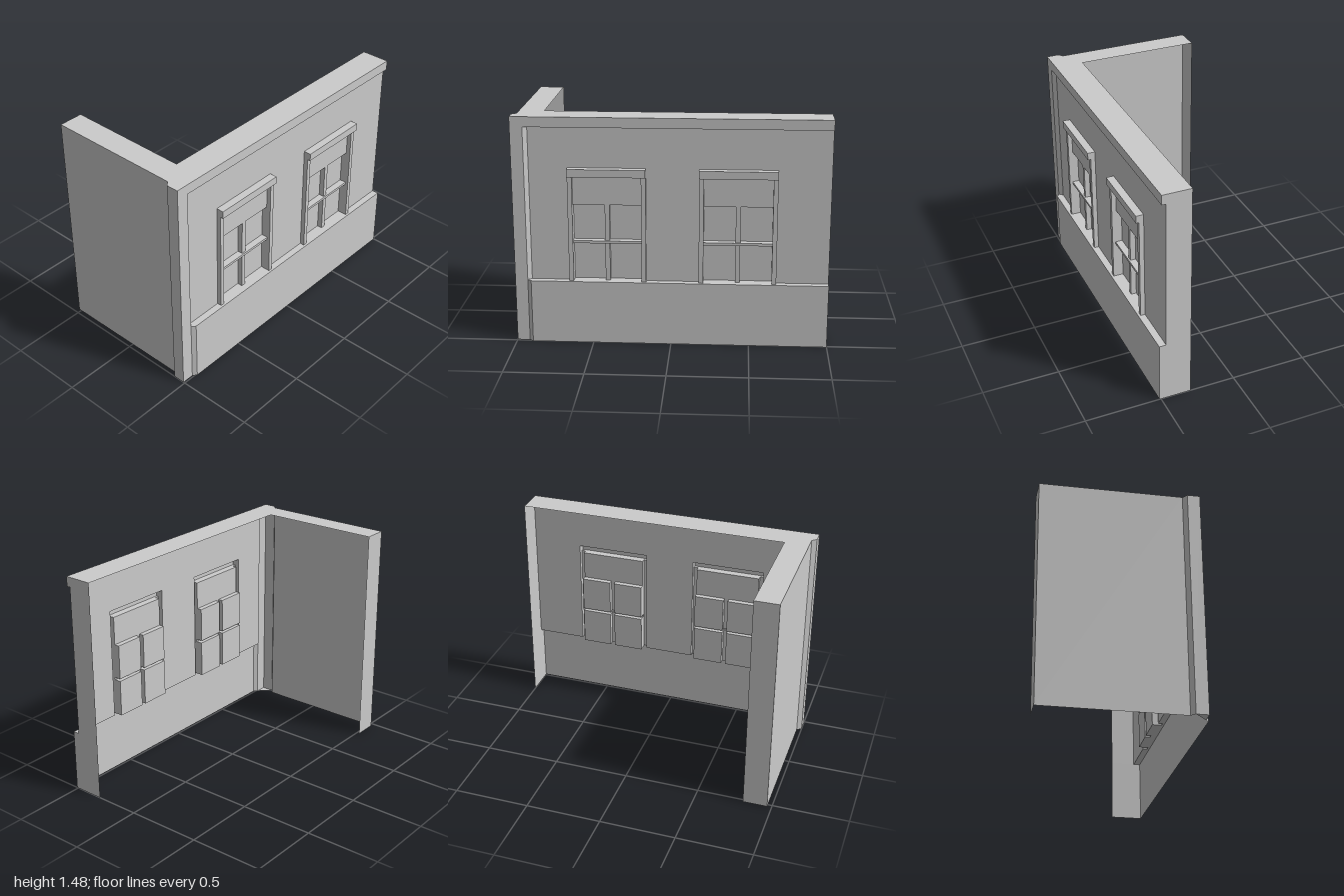
import * as THREE from 'three';

const H = 1.48, PLINTH = 0.415, CORNICE = 1.415, BACK = -1, BEND = 0.895;
const INNER = 0.30, WALL = 0.465, POST = 0.49, BASE = 0.51;
const WINDOWS = [0.404, -0.422];

const material = new THREE.MeshStandardMaterial({ color: 0xcccccc, side: THREE.DoubleSide, flatShading: true });

// mesh from a list of four-cornered faces
function quadMesh(name, quads) {
  const pos = [];
  for (const [a, b, c, d] of quads) pos.push(...a, ...b, ...c, ...a, ...c, ...d);
  const g = new THREE.BufferGeometry();
  g.setAttribute('position', new THREE.Float32BufferAttribute(pos, 3));
  g.computeVertexNormals();
  const m = new THREE.Mesh(g, material);
  m.name = name;
  return m;
}

// upright faces along a plan path of [x, z]
function strip(name, path, y0, y1) {
  return quadMesh(name, path.slice(1).map(([x, z], i) => {
    const [px, pz] = path[i];
    return [[px, y0, pz], [x, y0, z], [x, y1, z], [px, y1, pz]];
  }));
}

// level face with a plan outline of [x, z]
function level(name, outline, y) {
  const shape = new THREE.Shape(outline.map(([x, z]) => new THREE.Vector2(x, -z)));
  const m = new THREE.Mesh(new THREE.ShapeGeometry(shape).rotateX(-Math.PI / 2).translate(0, y, 0), material);
  m.name = name;
  return m;
}

// relief layers of the side wall [z0, z1, y0, y1, x]; later layers win
const layers = [
  [BACK, BEND, 0, H, WALL],
  [BACK, BEND, 0, PLINTH, BASE],
  [BACK, BEND, CORNICE, H, POST],
];
for (const c of WINDOWS) {
  const o = 0.246, i = 0.217;
  layers.push(
    [c - o, c + o, PLINTH, 1.105, 0.495],         // jambs
    [c - i, c + i, PLINTH, 0.915, 0.43],          // panes
    [c - i, c + i, 0.915, 1.105, WALL],           // upper panel
    [c - 0.015, c + 0.015, PLINTH, 0.915, WALL],  // mullion
    [c - i, c + i, 0.663, 0.68, 0.475],           // crossbar
    [c - o, c + o, 1.105, 1.155, 0.515],          // lintel
  );
}

function depth(z, y) {
  let x = INNER;
  for (const l of layers) if (z > l[0] && z < l[1] && y > l[2] && y < l[3]) x = l[4];
  return x;
}

// outer skin of one region of the side wall, with the steps between layers
function relief(name, z0, z1, y0, y1) {
  const cuts = (k, lo, hi) => [...new Set([lo, hi, ...layers.flatMap(l => [l[k], l[k + 1]])])]
    .filter(v => v >= lo && v <= hi).sort((a, b) => a - b);
  const zs = cuts(0, z0, z1), ys = cuts(2, y0, y1), e = 1e-4, quads = [];
  for (let i = 0; i < zs.length - 1; i++) for (let j = 0; j < ys.length - 1; j++) {
    const [a, b, c, d] = [zs[i], zs[i + 1], ys[j], ys[j + 1]];
    const zm = (a + b) / 2, ym = (c + d) / 2, x = depth(zm, ym);
    quads.push([[x, c, b], [x, c, a], [x, d, a], [x, d, b]]);
    const xs = depth(a - e, ym), xb = depth(zm, c - e);
    if (xs !== x) quads.push([[xs, c, a], [xs, d, a], [x, d, a], [x, c, a]]);
    if (c > 0 && xb !== x) quads.push([[xb, c, a], [x, c, a], [x, c, b], [xb, c, b]]);
  }
  return quadMesh(name, quads);
}

export function createModel() {
  const model = new THREE.Group();
  model.name = 'cornerFacade';

  // side wall, split around the windows
  const [w1, w2] = WINDOWS, o = 0.246, top = 1.155;
  model.add(
    relief('plinth', BACK, BEND, 0, PLINTH),
    relief('wallBack', BACK, w2 - o, PLINTH, top),
    relief('backWindow', w2 - o, w2 + o, PLINTH, top),
    relief('wallBetweenWindows', w2 + o, w1 - o, PLINTH, top),
    relief('frontWindow', w1 - o, w1 + o, PLINTH, top),
    relief('wallFront', w1 + o, BEND, PLINTH, top),
    relief('wallAboveWindows', BACK, BEND, top, CORNICE),
    relief('cornice', BACK, BEND, CORNICE, H),
  );

  // front wing and corner post
  model.add(
    strip('frontWall', [[-0.52, 0.81], [-0.52, 0.97], [0.385, 0.97]], 0, H),
    strip('cornerPost', [[0.385, 0.97], [0.41, 1], [POST, 1], [POST, 0.92]], 0, H),
    level('postFoot', [[0.41, 1], [POST, 1], [POST, 0.92]], 0),
  );

  // slanted joins between the post and the side wall
  const edge = [POST, 0.92];
  model.add(
    strip('plinthBevel', [edge, [BASE, BEND]], 0, PLINTH),
    strip('wallBevel', [edge, [WALL, BEND]], PLINTH, CORNICE),
    strip('corniceJoin', [edge, [POST, BEND]], CORNICE, H),
    level('plinthCornerTop', [edge, [BASE, BEND], [WALL, BEND]], PLINTH),
    level('corniceCornerUnderside', [edge, [POST, BEND], [WALL, BEND]], CORNICE),
  );

  // L-shaped cap over both walls
  model.add(level('topCap', [[-0.52, 0.81], [-0.52, 0.97], [0.385, 0.97], [0.41, 1],
    [POST, 1], [POST, BACK], [INNER, BACK], [INNER, 0.81]], H));
  return model;
}
